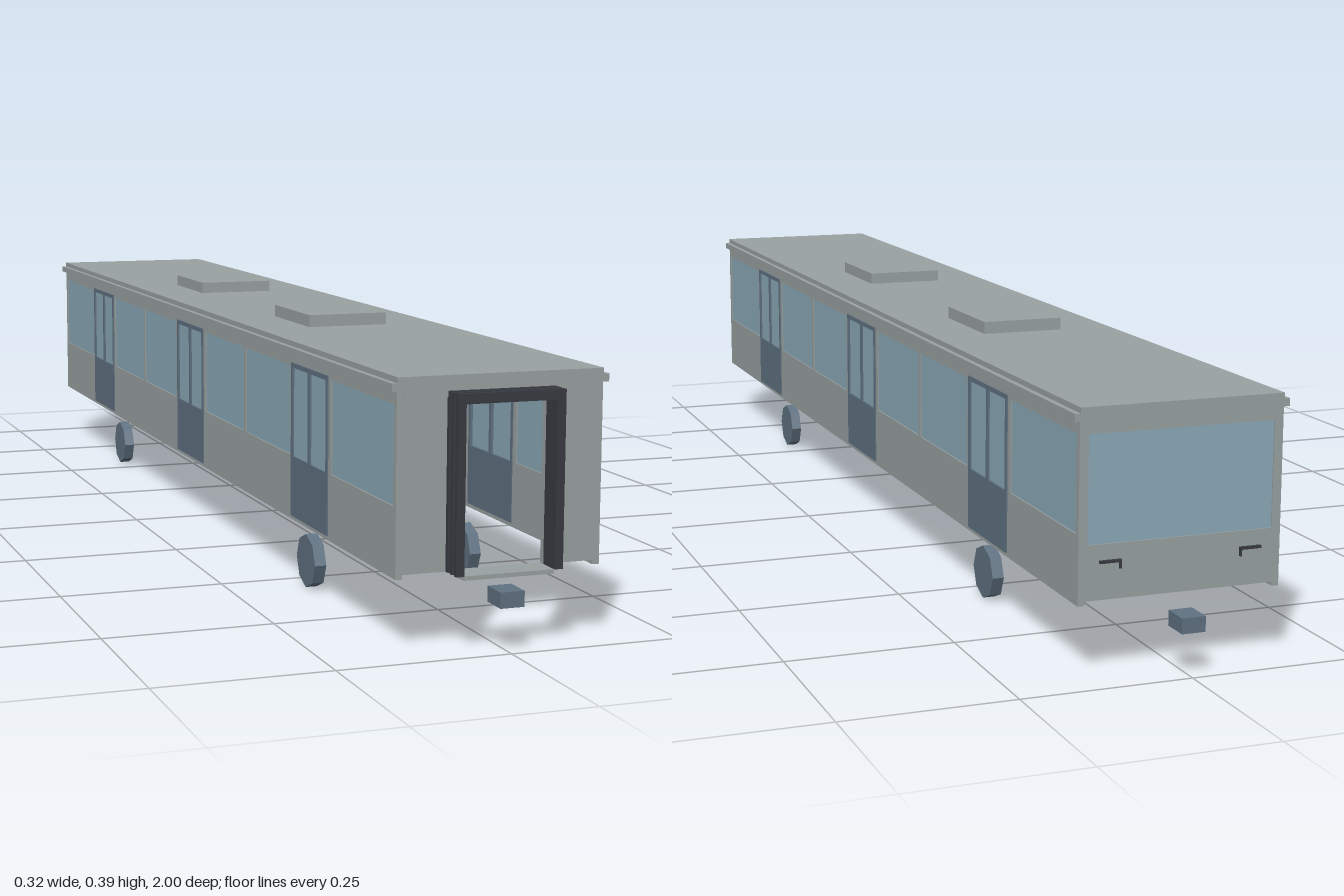
import * as THREE from 'three';

const mat = (name, color) => Object.assign(new THREE.MeshStandardMaterial({ color }), { name });

export function createModel() {
  const grey = mat('bodyGrey', 0x9aa2a2);
  const glass = mat('windowGlass', 0x8cabba);
  const slate = mat('slateBlue', 0x607282);
  const dark = mat('rubberDark', 0x383b42);
  const model = new THREE.Group();
  model.name = 'railCar';

  const add = (parent, name, geo, material) => {
    const m = new THREE.Mesh(geo, material);
    m.name = name;
    parent.add(m);
    return m;
  };
  // box given by its limits on each axis
  const box = (parent, name, material, [x0, x1], [y0, y1], [z0, z1]) => {
    const m = add(parent, name, new THREE.BoxGeometry(x1 - x0, y1 - y0, z1 - z0), material);
    m.position.set((x0 + x1) / 2, (y0 + y1) / 2, (z0 + z1) / 2);
    return m;
  };
  // flat panel with rectangular holes; rectangles are [u0, u1, v0, v1]
  const panel = ([a, b, c, d], holes, depth) => {
    const pts = (u0, u1, v0, v1) => [[u0, v0], [u1, v0], [u1, v1], [u0, v1]].map(p => new THREE.Vector2(...p));
    const shape = new THREE.Shape(pts(a, b, c, d));
    for (const h of holes) shape.holes.push(new THREE.Path(pts(...h).reverse()));
    return new THREE.ExtrudeGeometry(shape, { depth, bevelEnabled: false });
  };

  const sill = 0.2, head = 0.336, wallTop = 0.355;
  const doorCentres = [-0.618, 0, 0.618], doorHalf = 0.079;
  const windows = [[0.09, 0.304], [0.314, 0.53], [0.708, 0.945]]
    .flatMap(([a, b]) => [[a, b, sill, head], [-b, -a, sill, head]]);
  const doors = doorCentres.map(c => [c - doorHalf, c + doorHalf, 0.108, 0.341]);

  // side walls, built facing +z and turned outward
  for (const s of [1, -1]) {
    const side = new THREE.Group();
    side.name = s > 0 ? 'leftSide' : 'rightSide';
    side.rotation.y = s * Math.PI / 2;
    model.add(side);
    add(side, 'sideWall', panel([-0.955, 0.955, 0.102, wallTop], [...windows, ...doors], 0.01), grey)
      .position.z = 0.14;
    for (const [a, b, c, d] of windows) box(side, 'sideWindow', glass, [a, b], [c, d], [0.142, 0.148]);

    // double doors with two panes each
    doorCentres.forEach((c, i) => {
      const [a, b, y0, y1] = doors[i];
      const panes = [[a + 0.007, c - 0.004, sill, y1 - 0.007], [c + 0.004, b - 0.007, sill, y1 - 0.007]];
      add(side, 'doorLeaves', panel([a, b, y0, y1], panes, 0.013), slate).position.z = 0.139;
      for (const p of panes) box(side, 'doorPane', glass, [p[0], p[1]], [p[2], p[3]], [0.143, 0.149]);
    });
  }

  // front wall around the passage
  for (const s of [-1, 1]) {
    const m = box(model, 'frontPanel', grey, [0.066, 0.14], [0.108, wallTop], [0.945, 0.955]);
    m.position.x *= s;
  }
  box(model, 'frontLintel', grey, [-0.066, 0.066], [0.339, wallTop], [0.945, 0.955]);
  box(model, 'frontCornice', grey, [-0.14, 0.14], [0.343, 0.354], [0.955, 0.957]);

  // pleated gangway surround
  for (let i = 0; i < 5; i++) {
    const w = i % 2 ? 0.073 : 0.078, top = i % 2 ? 0.347 : 0.352;
    const z = [0.955 + i * 0.007, 0.962 + i * 0.007];
    box(model, 'gangwayPleatLeft', dark, [0.066, w], [0.108, top], z);
    box(model, 'gangwayPleatRight', dark, [-w, -0.066], [0.108, top], z);
    box(model, 'gangwayPleatTop', dark, [-0.066, 0.066], [0.338, top], z);
  }
  box(model, 'gangwaySill', grey, [-0.066, 0.066], [0.102, 0.108], [0.945, 0.988]);

  // rear wall with wide window and handles
  const rearWindow = [-0.137, 0.137, 0.185, 0.336];
  add(model, 'rearWall', panel([-0.14, 0.14, 0.108, wallTop], [rearWindow], 0.01), grey)
    .position.z = -0.955;
  box(model, 'rearWindow', glass, [-0.137, 0.137], [0.185, 0.336], [-0.953, -0.947]);
  for (const s of [-1, 1]) {
    const bar = box(model, 'rearHandle', dark, [0.088, 0.12], [0.159, 0.163], [-0.959, -0.955]);
    const hook = box(model, 'rearHandleEnd', dark, [0.088, 0.091], [0.15, 0.159], [-0.959, -0.955]);
    bar.position.x *= s;
    hook.position.x *= s;
  }

  // roof, gutters and roof units
  box(model, 'roof', grey, [-0.15, 0.15], [0.354, 0.373], [-0.957, 0.957]);
  for (const s of [-1, 1]) {
    const gutter = box(model, 'gutter', grey, [0.15, 0.158], [0.354, 0.365], [-0.957, 0.957]);
    gutter.position.x *= s;
    box(model, 'roofUnit', grey, [-0.065, 0.065], [0.373, 0.392], [s * 0.293 - 0.084, s * 0.293 + 0.084]);
  }

  // couplers and octagonal wheels
  const wheelGeo = new THREE.CylinderGeometry(0.041, 0.041, 0.018, 8).toNonIndexed();
  wheelGeo.computeVertexNormals();
  wheelGeo.rotateZ(Math.PI / 2);
  for (const s of [-1, 1]) {
    box(model, 'coupler', slate, [-0.0175, 0.0175], [0.063, 0.085], [s * 0.979 - 0.021, s * 0.979 + 0.021]);
    for (const x of [-0.126, 0.126]) {
      add(model, 'wheel', wheelGeo, slate).position.set(x, 0.041, s * 0.56);
    }
  }
  return model;
}
